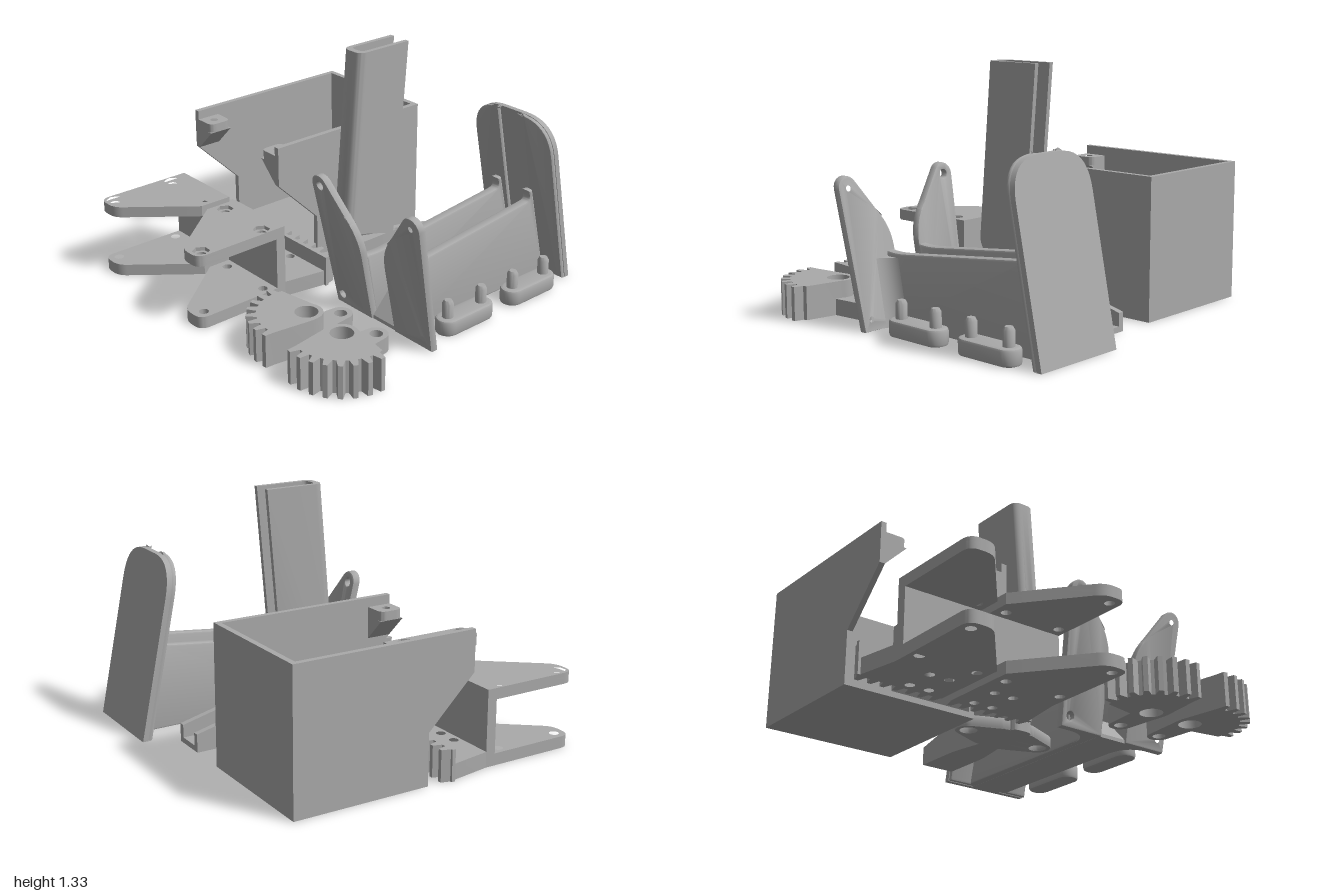
import * as THREE from 'three';
import { toCreasedNormals } from 'three/addons/utils/BufferGeometryUtils.js';

const grey = new THREE.MeshStandardMaterial({ color: 0xaaaaaa });
grey.name = 'plain grey';

// Closed outline; a point's third value rounds that corner
function outline(pts, Type = THREE.Shape) {
  const s = new Type(), n = pts.length;
  pts.forEach(([x, y, r = 0], i) => {
    const toward = ([a, b]) => {
      const d = Math.hypot(a - x, b - y) || 1;
      return [x + (a - x) * r / d, y + (b - y) * r / d];
    };
    const p = toward(pts[(i + n - 1) % n]), q = toward(pts[(i + 1) % n]);
    if (i === 0) s.moveTo(...p); else s.lineTo(...p);
    if (r) s.quadraticCurveTo(x, y, ...q);
  });
  s.closePath();
  return s;
}

const arc = (x, y, r, a0, a1, n = 12) => Array.from({ length: n + 1 }, (_, i) => {
  const a = a0 + (a1 - a0) * i / n;
  return [x + r * Math.cos(a), y + r * Math.sin(a)];
});
const ring = (x, y, r, n = 24) => arc(x, y, r, 0, 2 * Math.PI * (n - 1) / n, n - 1);

// Extrude an outline with holes along its own depth axis
function extrude(pts, holes, depth, bevel = 0) {
  const s = outline(pts);
  s.holes = holes.map(h => outline(h, THREE.Path));
  const g = new THREE.ExtrudeGeometry(s, {
    depth: depth - 2 * bevel, bevelEnabled: bevel > 0, bevelSize: bevel,
    bevelThickness: bevel, bevelOffset: -bevel, bevelSegments: 2, curveSegments: 10 });
  return g.translate(0, 0, bevel);
}

// Outline in x,z raised from y0 by h
function plan(pts, holes, y0, h, bevel = 0) {
  const flip = a => a.map(([x, z, r]) => [x, -z, r]);
  return extrude(flip(pts), holes.map(flip), h, bevel).rotateX(-Math.PI / 2).translate(0, y0, 0);
}

// Outline in z,y extended from x0 to x1
const side = (pts, x0, x1, bevel = 0) =>
  extrude(pts.map(([z, y, r]) => [-z, y, r]), [], x1 - x0, bevel).rotateY(Math.PI / 2).translate(x0, 0, 0);

// Move every vertex by a rule
function bend(g, rule) {
  const p = g.attributes.position, v = new THREE.Vector3();
  for (let i = 0; i < p.count; i++) {
    rule(v.fromBufferAttribute(p, i));
    p.setXYZ(i, v.x, v.y, v.z);
  }
  return g;
}
const lean = (g, k) => bend(g, v => { v.z += k * v.y; });

function group(parent, name) {
  const g = new THREE.Group();
  g.name = name;
  parent.add(g);
  return g;
}
function add(parent, name, geo) {
  const m = new THREE.Mesh(toCreasedNormals(geo, 0.6), grey);
  m.name = name;
  parent.add(m);
}
const mirror = (pts, c) => pts.map(([x, y, r]) => [2 * c - x, y, r]);

// Open-front bin with two screw tabs
function bin(root) {
  const g = group(root, 'bin'), c = -0.6;
  add(g, 'binFloor', plan([[-0.98, -0.76], [-0.22, -0.76], [-0.22, 0], [-0.98, 0]], [], 0, 0.03));
  add(g, 'binBack', side([[-0.76, 0.03], [-0.73, 0.03], [-0.73, 0.76], [-0.76, 0.76]], -0.98, -0.22));
  const wall = [[-0.73, 0.03], [0, 0.03], [0, 0.28], [0.265, 0.54], [0.265, 0.76], [-0.73, 0.76]];
  const tab = [[-0.95, 0.13], [-0.83, 0.13, 0.04], [-0.83, 0.265, 0.04], [-0.95, 0.265]];
  const brace = [[-0.95, 0.54], [-0.83, 0.66], [-0.95, 0.66]];
  for (const f of [p => p, p => mirror(p, c)]) {
    const x = f([[-0.98, 0], [-0.95, 0]]).map(p => p[0]).sort((a, b) => a - b);
    add(g, 'binSide', side(wall, x[0], x[1]));
    add(g, 'binTab', plan(f(tab), [f(ring(-0.89, 0.2, 0.022))], 0.66, 0.05));
    add(g, 'binTabBrace', extrude(f(brace), [], 0.135).translate(0, 0, 0.13));
  }
}

// Bracket with a toothed rack, an upright and two tapered plates
function rackBracket(root, f, name) {
  const g = group(root, name);
  const plate = [[-0.945, 0.385], [-0.51, 0.385], [-0.51, 0.57], [-0.81, 0.94, 0.05], [-0.945, 0.94, 0.06]];
  const spots = [[-0.895, 0.5], [-0.57, 0.495], [-0.89, 0.88]];
  const holes = (r, n) => spots.map(([x, z]) => f(ring(x, z, r, n)));
  add(g, 'lowerPlate', plan(f(plate), holes(0.026), 0, 0.065));
  add(g, 'upperPlate', plan(f(plate), holes(0.026), 0.355, 0.04));
  add(g, 'nutRecessLayer', plan(f(plate), holes(0.046, 6), 0.395, 0.02));
  add(g, 'upright', plan(f([[-0.945, 0.385], [-0.51, 0.385], [-0.51, 0.44], [-0.945, 0.44]]), [], 0.065, 0.29));
  const base = [[-0.985, 0.13], [-0.51, 0.13], [-0.51, 0.385], [-0.945, 0.385], [-0.985, 0.15]];
  const baseHoles = [[-0.73, 0.18], [-0.62, 0.18], [-0.73, 0.345], [-0.62, 0.345]];
  add(g, 'rackBase', plan(f(base), baseHoles.map(([x, z]) => f(ring(x, z, 0.025))), 0, 0.085));
  const rack = [[-0.51, 0.15], [-1, 0.15], [-1, 0.13]];
  for (let i = 0; i < 7; i++) {
    const x = -0.965 + i * 0.071;
    rack.push([x - 0.024, 0.128], [x - 0.011, 0.08], [x + 0.011, 0.08], [x + 0.024, 0.128]);
  }
  rack.push([-0.51, 0.13]);
  add(g, 'rackTeeth', plan(f(rack), [], 0, 0.17));
}

// Toothed sector with a hub and a short lever arm
function sectorGear(root, f, name) {
  const g = group(root, name), cx = 0.425, cz = 0.61, pts = [];
  const at = (r, a) => pts.push([cx + r * Math.cos(a), cz + r * Math.sin(a)]);
  at(0.09, 4.1);
  at(0.25, 3.3);
  for (let i = 0; i < 8; i++) {
    const a = 3.13 - i * 0.241;
    at(0.252, a + 0.085); at(0.302, a + 0.04); at(0.302, a - 0.04); at(0.252, a - 0.085);
  }
  at(0.09, 0.3);
  pts.push(...arc(cx, cz, 0.085, 0, -2.0, 10));
  const bore = f(ring(cx, cz, 0.06));
  add(g, 'toothedSector', plan(f(pts), [bore], 0, 0.18));
  const arm = [[cx + 0.085, cz], ...arc(cx, 0.385, 0.062, 0, -Math.PI), [cx - 0.085, cz],
    ...arc(cx, cz, 0.085, Math.PI, 0.1)];
  add(g, 'leverArm', plan(f(arm), [bore, f(ring(cx, 0.385, 0.034))], 0, 0.088));
}

// Rounded link with two pins
function pinLink(root, z0, z1) {
  const g = group(root, 'pinLink'), x = 0.805, r = 0.063;
  add(g, 'linkBar', plan([...arc(x, z1, r, 0, Math.PI), ...arc(x, z0, r, Math.PI, 2 * Math.PI)], [], 0, 0.088, 0.014));
  for (const z of [z0, z1]) {
    const prof = [[0, 0.07], [0.03, 0.07], [0.03, 0.165], [0.02, 0.183], [0, 0.183]];
    add(g, 'pin', new THREE.LatheGeometry(prof.map(p => new THREE.Vector2(...p)), 20).translate(x, 0, z));
  }
}

// Leaning hopper tube feeding a chute, on an eared flange
function feeder(root) {
  const g = group(root, 'feeder'), c = 0.0925;
  const tube = [[0.025, -0.202], [0.05, -0.202], [0.05, 0.1, 0.035], [0.135, 0.1, 0.035], [0.135, -0.202],
    [0.16, -0.202], [0.16, 0.133, 0.05], [0.025, 0.133, 0.05]];
  add(g, 'hopperTube', bend(plan(tube, [], 0, 1.33), v => {
    if (v.y < 0.1) v.y = Math.max(0.25, 0.41 - (0.133 - v.z) * 1.6);
    v.z -= 0.0815 * v.y;
  }));
  add(g, 'neck', plan([[0.03, -0.25], [0.155, -0.25], [0.155, 0.01, 0.04], [0.03, 0.01, 0.04]], [], 0, 0.26));
  const ears = [...arc(c + 0.228, -0.16, 0.072, 1.15, -1.15), [0.17, -0.3, 0.04], [0.015, -0.3, 0.04],
    ...arc(c - 0.228, -0.16, 0.072, Math.PI + 1.15, Math.PI - 1.15), [0.015, -0.02, 0.04], [0.17, -0.02, 0.04]];
  add(g, 'flange', plan(ears, [-1, 1].map(s => ring(c + s * 0.228, -0.16, 0.044)), 0, 0.065, 0.01));
  const half = [[-0.005, -0.76], [-0.005, -0.47, 0.05], [0.035, -0.25]];
  const inner = [[0.065, -0.25], [0.028, -0.5, 0.05], [0.028, -0.76]];
  const slope = gg => bend(gg, v => { if (v.y > 0.1) v.y = 0.1 + (v.z + 0.76) * 0.24; });
  add(g, 'chuteFloor', plan([...half, ...mirror(half, c).reverse()], [], 0, 0.03));
  add(g, 'chuteLeftWall', slope(plan([...half, ...inner], [], 0.03, 0.1)));
  add(g, 'chuteRightWall', slope(plan(mirror([...half, ...inner], c), [], 0.03, 0.1)));
}

// Channel cradle with a tall end plate and two splayed wings
function cradle(root) {
  const g = group(root, 'cradle'), c = 0.545;
  const back = [[0.275, 0], [0.815, 0], [0.815, 0.96, 0.2], [0.275, 0.96, 0.2]];
  const backHalf = [[0.275, 0], [0.46, 0], [0.46, 0.96], [0.275, 0.96, 0.2]];
  const wing = [[0.19, 0], [0.46, 0], [0.46, 0.5, 0.12], [0.39, 0.575, 0.03],
    ...arc(0.213, 0.715, 0.06, 0.6, Math.PI, 10)];
  const wingHoles = [ring(0.213, 0.715, 0.023), ring(0.24, 0.06, 0.023)];
  const wall = [[0.17, 0], [0.245, 0.38], [0.16, 0.372, 0.06], [-0.74, 0.47, 0.04], [-0.72, 0.53], [-0.75, 0.53], [-0.88, 0]];
  const fillet = [[0.42, -0.02], [0.42, 0.17], [0.25, 0.17], [0.4, 0.145, 0.1]];
  add(g, 'endPlateBack', lean(extrude(back, [], 0.03).translate(0, 0, -0.94), 0.206));
  for (const f of [p => p, p => mirror(p, c)]) {
    add(g, 'endPlateFace', lean(extrude(f(backHalf), [], 0.03, 0.012).translate(0, 0, -0.913), 0.206));
    add(g, 'wing', lean(extrude(f(wing), wingHoles.map(f), 0.045, 0.008).translate(0, 0, 0.155), 0.2));
    const x = f([[0.405, 0], [0.46, 0]]).map(p => p[0]).sort((a, b) => a - b);
    add(g, 'channelWall', side(wall, x[0], x[1], 0.012));
    add(g, 'wingFillet', lean(plan(f(fillet), [], 0, 0.35), 0.2));
  }
  add(g, 'channelFloor', side([[0.19, 0], [0.19, 0.02], [0.07, 0.15], [-0.88, 0.15], [-0.91, 0]], 0.45, 0.64));
}

export function createModel() {
  const root = new THREE.Group();
  root.name = 'partsKit';
  const same = p => p;
  bin(root);
  rackBracket(root, same, 'rightRackBracket');
  rackBracket(root, p => mirror(p, -0.485), 'leftRackBracket');
  sectorGear(root, same, 'rightSectorGear');
  sectorGear(root, p => mirror(p, 0.56), 'leftSectorGear');
  pinLink(root, -0.73, -0.487);
  pinLink(root, -0.247, -0.005);
  feeder(root);
  cradle(root);
  return root;
}
